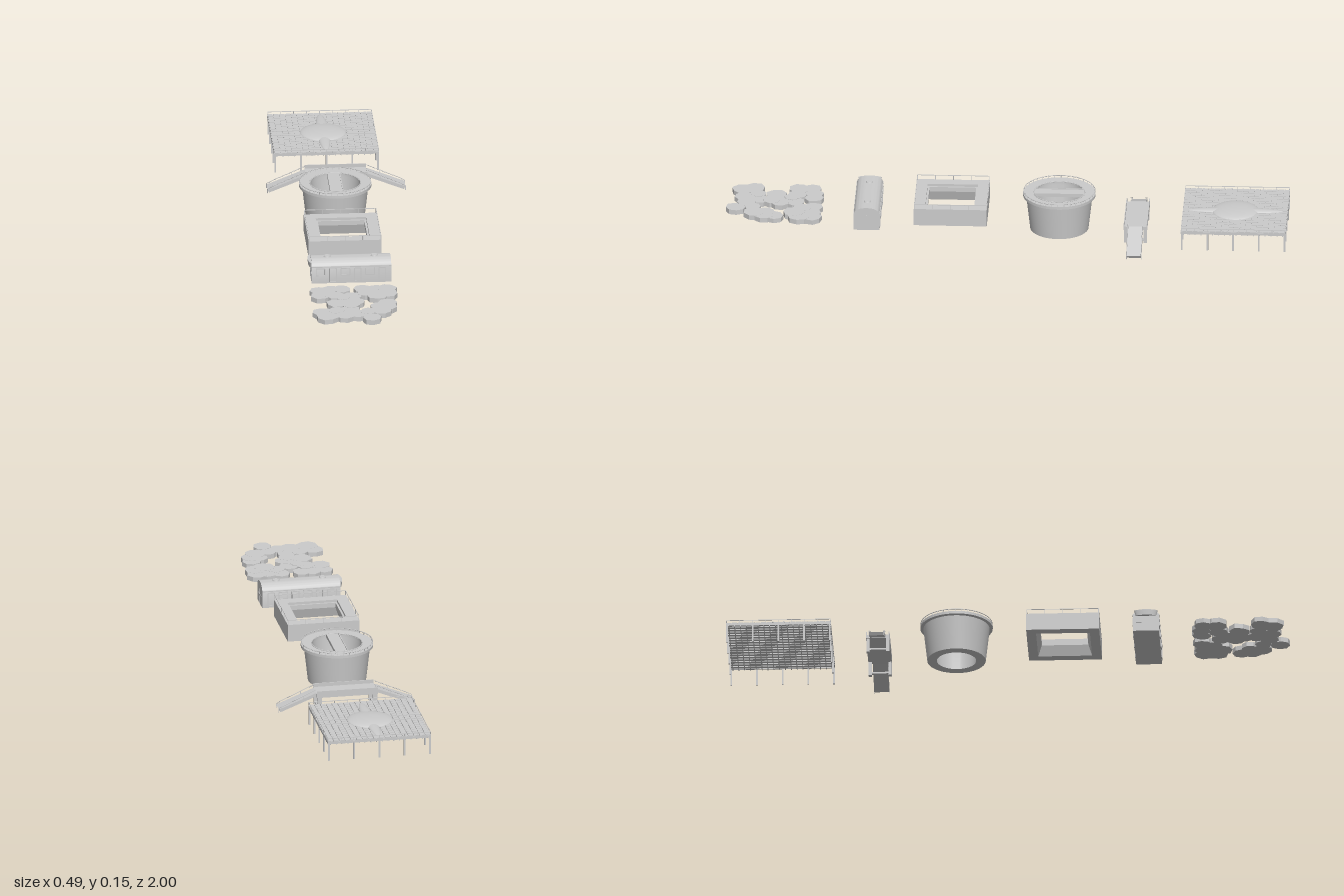
import * as THREE from 'three';
import { mergeGeometries, toCreasedNormals } from 'three/addons/utils/BufferGeometryUtils.js';

const material = new THREE.MeshStandardMaterial({ color: 0xcccccc, side: THREE.DoubleSide });
const CX = -0.022; // shared centre line of most pieces

function add(parent, name, geometry, x = 0, y = 0, z = 0) {
  const mesh = new THREE.Mesh(geometry, material);
  mesh.name = name;
  mesh.position.set(x, y, z);
  parent.add(mesh);
  return mesh;
}

function group(parent, name, x, y, z) {
  const g = new THREE.Group();
  g.name = name;
  g.position.set(x, y, z);
  parent.add(g);
  return g;
}

// box given by its size and centre, for merging
const box = (w, h, d, x = 0, y = 0, z = 0) => new THREE.BoxGeometry(w, h, d).translate(x, y, z);

// thin square railing: top bars plus evenly spaced posts
function squareRail(half, y0, y1, n, t) {
  const parts = [], s = (half * 2) / n;
  for (const e of [-half, half]) {
    parts.push(box(half * 2 + t, t, t, 0, y1 - t / 2, e), box(t, t, half * 2 + t, e, y1 - t / 2, 0));
    for (let i = 0; i <= n; i++) {
      const p = -half + i * s;
      parts.push(box(t, y1 - y0, t, p, (y0 + y1) / 2, e), box(t, y1 - y0, t, e, (y0 + y1) / 2, p));
    }
  }
  return mergeGeometries(parts);
}

// tiled square platform on thin legs, with a low dome and crossing ridges
function buildPlatform(root) {
  const g = group(root, 'platform', CX, 0, -0.812), half = 0.187;
  add(g, 'deck', box(half * 2, 0.009, half * 2, 0, 0.0725));
  const tiles = [], beams = [], n = 18, s = (half * 2) / n;
  for (let i = 0; i < n; i++) {
    const p = -half + (i + 0.5) * s;
    for (let j = 0; j < n; j++) tiles.push(box(s - 0.002, 0.003, s - 0.002, p, 0.0785, -half + (j + 0.5) * s));
    beams.push(box(0.003, 0.003, half * 2, p, 0.0665, 0), box(half * 2, 0.003, 0.003, 0, 0.0665, p));
  }
  add(g, 'deckTiles', mergeGeometries(tiles));
  add(g, 'underBeams', mergeGeometries(beams));
  add(g, 'railing', squareRail(half - 0.002, 0.077, 0.09, 8, 0.002));
  const legs = [];
  for (let i = 0; i < 5; i++) for (let j = 0; j < 5; j++) {
    if (i % 4 && j % 4) continue;
    legs.push(box(0.006, 0.065, 0.006, (i - 2) * 0.0915, 0.0375, (j - 2) * 0.0915));
  }
  add(g, 'legs', mergeGeometries(legs));
  const dome = new THREE.SphereGeometry(1, 32, 10, 0, Math.PI * 2, 0, Math.PI / 2);
  add(g, 'dome', dome.clone().scale(0.083, 0.013, 0.083), 0, 0.079, 0);
  add(g, 'longRidge', dome.clone().scale(0.023, 0.009, 0.172), 0, 0.079, 0);
  for (const z of [-0.02, 0.02]) add(g, 'crossCurb', box(half * 2, 0.003, 0.005, 0, 0.0805, z));
}

// footbridge with a sloping ramp at each end
function buildBridge(root) {
  const g = group(root, 'bridge', 0, 0, -0.462);
  add(g, 'bridgeDeck', box(0.22, 0.012, 0.084, 0, 0.062));
  for (const z of [-0.0405, 0.0405]) add(g, 'parapet', box(0.22, 0.013, 0.003, 0, 0.0745, z));
  for (const sx of [-1, 1]) {
    for (const z of [-0.035, 0.035]) add(g, 'bridgeLeg', box(0.016, 0.055, 0.012, sx * 0.1, 0.0325, z));
    add(g, 'legTie', box(0.012, 0.006, 0.07, sx * 0.1, 0.015));
    const ramp = new THREE.Shape([[0.108, 0.058], [0.24, 0.006], [0.246, 0.016], [0.11, 0.07]]
      .map(([x, y]) => new THREE.Vector2(sx * x, y)));
    add(g, 'ramp', new THREE.ExtrudeGeometry(ramp, { depth: 0.054, bevelEnabled: false }), 0, 0, -0.027);
    // handrail curls down at the ramp foot
    const path = new THREE.CatmullRomCurve3([[0.11, 0.082], [0.17, 0.055], [0.235, 0.026], [0.246, 0.019], [0.244, 0.012]]
      .map(([x, y]) => new THREE.Vector3(sx * x, y, 0)));
    for (const z of [-0.026, 0.026]) {
      add(g, 'handrail', new THREE.TubeGeometry(path, 20, 0.0013, 6), 0, 0, z);
      for (const t of [0.2, 0.5, 0.75]) {
        const p = path.getPoint(t);
        add(g, 'railPost', box(0.002, 0.016, 0.002), p.x, p.y - 0.008, z);
      }
    }
  }
}

// tapered round tower, open through the middle, with a walkway across the top
function buildTower(root) {
  const g = group(root, 'roundTower', CX, 0, -0.185);
  const profile = [[0.07, 0.002], [0.104, 0.002], [0.118, 0.126], [0.129, 0.128], [0.129, 0.138],
    [0.088, 0.138], [0.088, 0.128], [0.07, 0.002]].map(([x, y]) => new THREE.Vector2(x, y));
  add(g, 'towerWall', toCreasedNormals(new THREE.LatheGeometry(profile, 56), 0.5));
  add(g, 'walkway', box(0.046, 0.01, 0.184, 0, 0.135));
  for (const x of [-0.022, 0.022]) add(g, 'walkwayCurb', box(0.003, 0.004, 0.17, x, 0.141));
  add(g, 'innerRim', new THREE.TorusGeometry(0.09, 0.002, 6, 56).rotateX(Math.PI / 2), 0, 0.139, 0);
  add(g, 'topRail', new THREE.TorusGeometry(0.127, 0.0014, 6, 56).rotateX(Math.PI / 2), 0, 0.1465, 0);
  const posts = [];
  for (let i = 0; i < 36; i++) {
    const a = (i / 36) * Math.PI * 2;
    posts.push(box(0.002, 0.01, 0.002, 0.127 * Math.cos(a), 0.142, 0.127 * Math.sin(a)));
  }
  add(g, 'topRailPosts', mergeGeometries(posts));
}

// square block with a stepped, sloping opening
function buildSquareFrame(root) {
  const g = group(root, 'squareFrame', CX, 0, 0.198), r2 = Math.SQRT2;
  const profile = [[0.096, 0.058], [0.13, 0.058], [0.13, 0.121], [0.09, 0.121], [0.09, 0.112], [0.083, 0.112],
    [0.083, 0.095], [0.096, 0.058]].map(([x, y]) => new THREE.Vector2(x * r2, y));
  const geo = new THREE.LatheGeometry(profile, 4).rotateY(Math.PI / 4);
  add(g, 'frameBody', toCreasedNormals(geo, 0.3));
  add(g, 'frameRailing', squareRail(0.128, 0.12, 0.139, 4, 0.002));
}

// carriage with an arched roof, windows and roof vents
function buildCarriage(root) {
  const g = group(root, 'carriage', -0.014, 0, 0.495);
  const s = new THREE.Shape();
  s.moveTo(-0.046, 0.045);
  s.lineTo(0.046, 0.045);
  s.lineTo(0.046, 0.108);
  s.bezierCurveTo(0.042, 0.12, 0.03, 0.13, 0, 0.13);
  s.bezierCurveTo(-0.03, 0.13, -0.042, 0.12, -0.046, 0.108);
  const body = new THREE.ExtrudeGeometry(s, { depth: 0.284, bevelEnabled: false, curveSegments: 10 });
  add(g, 'carriageBody', toCreasedNormals(body.translate(0, 0, -0.142).rotateY(Math.PI / 2), 0.5));
  const nose = new THREE.CylinderGeometry(0.042, 0.036, 0.02, 24, 1, false, Math.PI, Math.PI).scale(0.28, 1, 1);
  add(g, 'noseHood', nose, -0.142, 0.113, 0);
  for (const z of [-1, 1]) {
    add(g, 'eaveTrim', box(0.284, 0.003, 0.002, 0, 0.107, z * 0.0465));
    for (let i = 0; i < 6; i++) {
      const x = -0.11 + i * 0.044, door = i % 2 === 1;
      const h = door ? 0.05 : 0.026, y = door ? 0.076 : 0.088, w = door ? 0.024 : 0.032;
      const frame = [];
      for (const e of [-1, 1]) frame.push(box(0.003, h, 0.003, x + e * w / 2, y, z * 0.0465),
        box(w, 0.003, 0.003, x, y + e * h / 2, z * 0.0465));
      add(g, door ? 'doorFrame' : 'windowFrame', mergeGeometries(frame));
    }
  }
  for (const x of [-1, 1]) {
    add(g, 'endPost', box(0.002, 0.055, 0.004, x * 0.142, 0.075, 0));
    add(g, 'endBar', box(0.002, 0.004, 0.07, x * 0.142, 0.08, 0));
    add(g, 'roofVent', new THREE.CylinderGeometry(0.011, 0.014, 0.008, 16), x * 0.084, 0.13, 0);
  }
}

// stepping-stone islands: clusters of overlapping irregular slabs [x, z, radius] in hundredths
function buildIslands(root) {
  const g = group(root, 'islands', 0, 0, 0);
  const clusters = [
    [[-14, 70, 3.4], [-10, 69, 3.2], [-6, 69, 3.2], [-13.6, 74.5, 3.7], [-8.5, 75, 3.4], [-6.2, 77, 2.6]],
    [[1.6, 69, 3.4], [6.2, 70, 3.8], [10, 69.3, 3.6], [2.6, 73, 3.3], [10, 74, 3.7], [6.3, 75.6, 3.9]],
    [[-2.7, 75.7, 3.5], [-5.4, 78.3, 2.8], [-2, 81, 3.5], [-8.4, 82.6, 3.8], [-3.7, 84, 3]],
    [[9.4, 82.7, 3.4], [6.3, 85.7, 3], [9.4, 86.2, 3.3], [6.8, 89.8, 3.8]],
    [[-14.2, 90.5, 3.7], [-12.6, 94.6, 3.8], [-9, 89, 3]],
    [[-4.2, 88.5, 3.4], [-6.3, 94, 3.4], [-1.6, 93, 3.4], [2, 90.5, 2.9], [3, 96.6, 3.3]],
  ];
  let seed = 7;
  const rnd = () => (seed = (seed * 16807) % 2147483647) / 2147483647;
  clusters.forEach((stones) => {
    const island = group(g, 'island', 0, 0, 0);
    stones.forEach(([x, z, r], k) => {
      const pts = [], n = 8, turn = rnd() * 6;
      for (let i = 0; i < n; i++) {
        const a = turn + (i / n) * Math.PI * 2, q = (r / 100) * (0.94 + rnd() * 0.16);
        pts.push(new THREE.Vector2(q * Math.cos(a), q * Math.sin(a)));
      }
      const slab = new THREE.ExtrudeGeometry(new THREE.Shape(pts), { depth: 0.0165 + k * 0.0003, bevelEnabled: false });
      add(island, 'stone', slab.rotateX(-Math.PI / 2), x / 100, 0.065, z / 100);
    });
  });
}

export function createModel() {
  const root = new THREE.Group();
  root.name = 'siteModels';
  buildPlatform(root);
  buildBridge(root);
  buildTower(root);
  buildSquareFrame(root);
  buildCarriage(root);
  buildIslands(root);
  return root;
}
